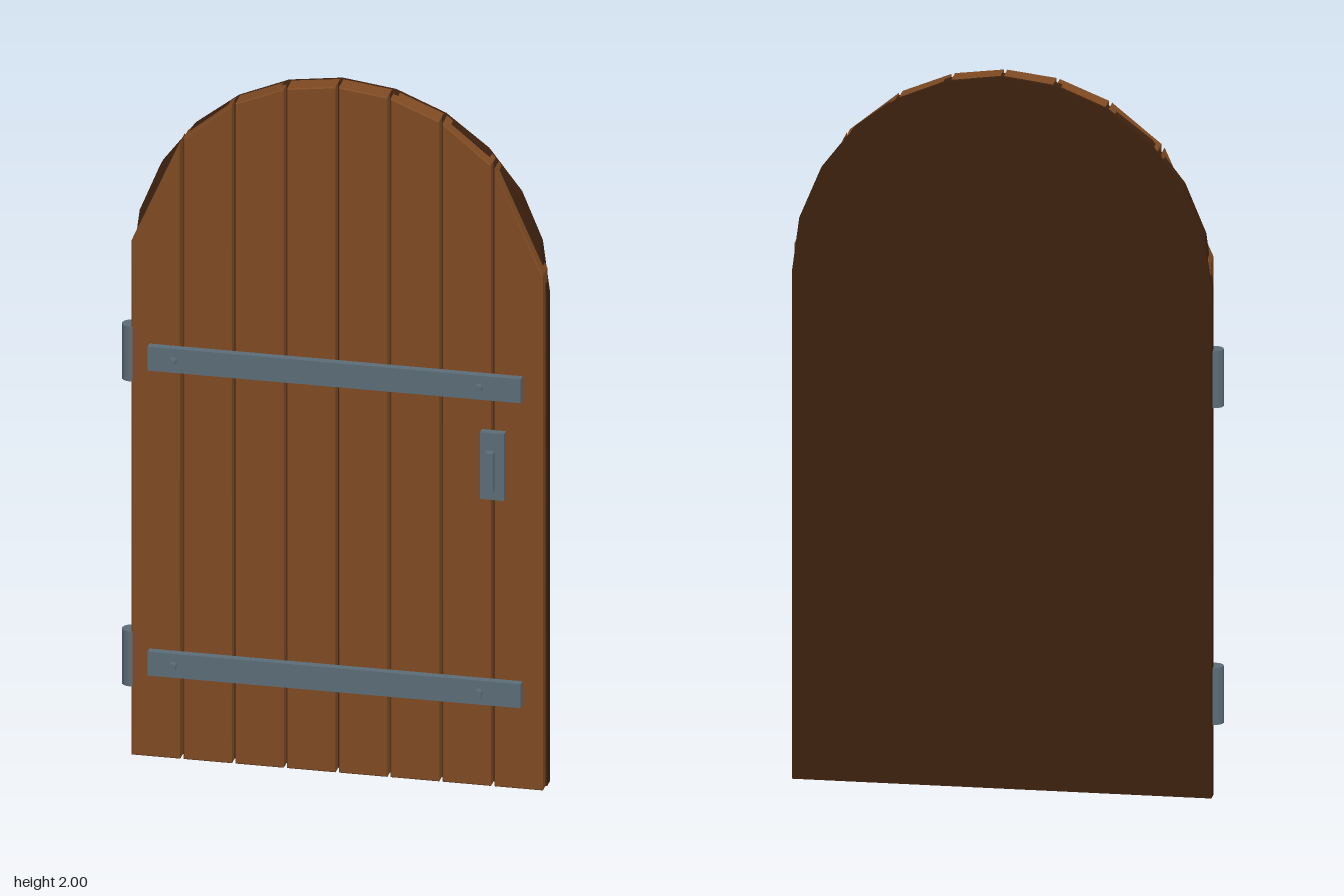
import * as THREE from 'three';

export function createModel() {
  const door = new THREE.Group();
  door.name = 'archedDoor';
  const wood = new THREE.MeshStandardMaterial({ color: 0x804b23 });
  wood.name = 'plank wood';
  const darkWood = new THREE.MeshStandardMaterial({ color: 0x3e210e });
  darkWood.name = 'dark wood';
  const iron = new THREE.MeshStandardMaterial({ color: 0x5c6d79 });
  iron.name = 'iron';

  const CX = 0.0115, R = 0.57, SPRING = 1.43, PLANKS = 8;

  function add(name, geometry, material, x = 0, y = 0, z = 0) {
    const mesh = new THREE.Mesh(geometry, material);
    mesh.name = name;
    mesh.position.set(x, y, z);
    door.add(mesh);
    return mesh;
  }
  const box = (name, w, h, d, x, y, z) =>
    add(name, new THREE.BoxGeometry(w, h, d), iron, x, y, z);

  // Backing panel with a twelve-sided arch
  const back = new THREE.Shape();
  back.moveTo(-R, 0);
  back.lineTo(R, 0);
  for (let i = 0; i <= 12; i++) {
    const a = (i / 12) * Math.PI;
    back.lineTo(R * Math.cos(a), SPRING + R * Math.sin(a));
  }
  back.closePath();
  add('backing', new THREE.ExtrudeGeometry(back, { depth: 0.035, bevelEnabled: false }),
    darkWood, CX, 0, -0.07);

  // Front planks, each cut straight between two points of the arch
  const pitch = (2 * R) / PLANKS, gap = 0.009, bevel = 0.003;
  const archY = (x) => SPRING + Math.sqrt(R * R - x * x);
  for (let i = 0; i < PLANKS; i++) {
    const x0 = -R + i * pitch + gap / 2, x1 = x0 + pitch - gap;
    const plank = new THREE.Shape();
    plank.moveTo(x0, 0);
    plank.lineTo(x1, 0);
    plank.lineTo(x1, archY(x1));
    plank.lineTo(x0, archY(x0));
    plank.closePath();
    add('plank' + (i + 1), new THREE.ExtrudeGeometry(plank, {
      depth: 0.062 - 2 * bevel, bevelThickness: bevel, bevelSize: bevel,
      bevelOffset: -bevel, bevelSegments: 1,
    }), wood, CX, 0, -0.062 + bevel);
  }

  // Iron straps with bolts, and the hinge barrels beside them
  for (const y of [0.28, 1.17]) {
    box('strap', 1.026, 0.07, 0.022, 0.0085, y, 0.011);
    for (const x of [-0.436, 0.405]) {
      add('bolt', new THREE.CylinderGeometry(0.012, 0.012, 0.018, 8), iron, x, y, 0.03)
        .rotation.x = Math.PI / 2;
    }
    add('hinge', new THREE.CylinderGeometry(0.025, 0.025, 0.16, 12), iron, -0.56, y, -0.023);
  }

  // Handle plate and grip
  box('handlePlate', 0.066, 0.195, 0.022, 0.443, 0.943, 0.011);
  box('handleGrip', 0.021, 0.114, 0.022, 0.445, 0.943, 0.058);

  return door;
}
